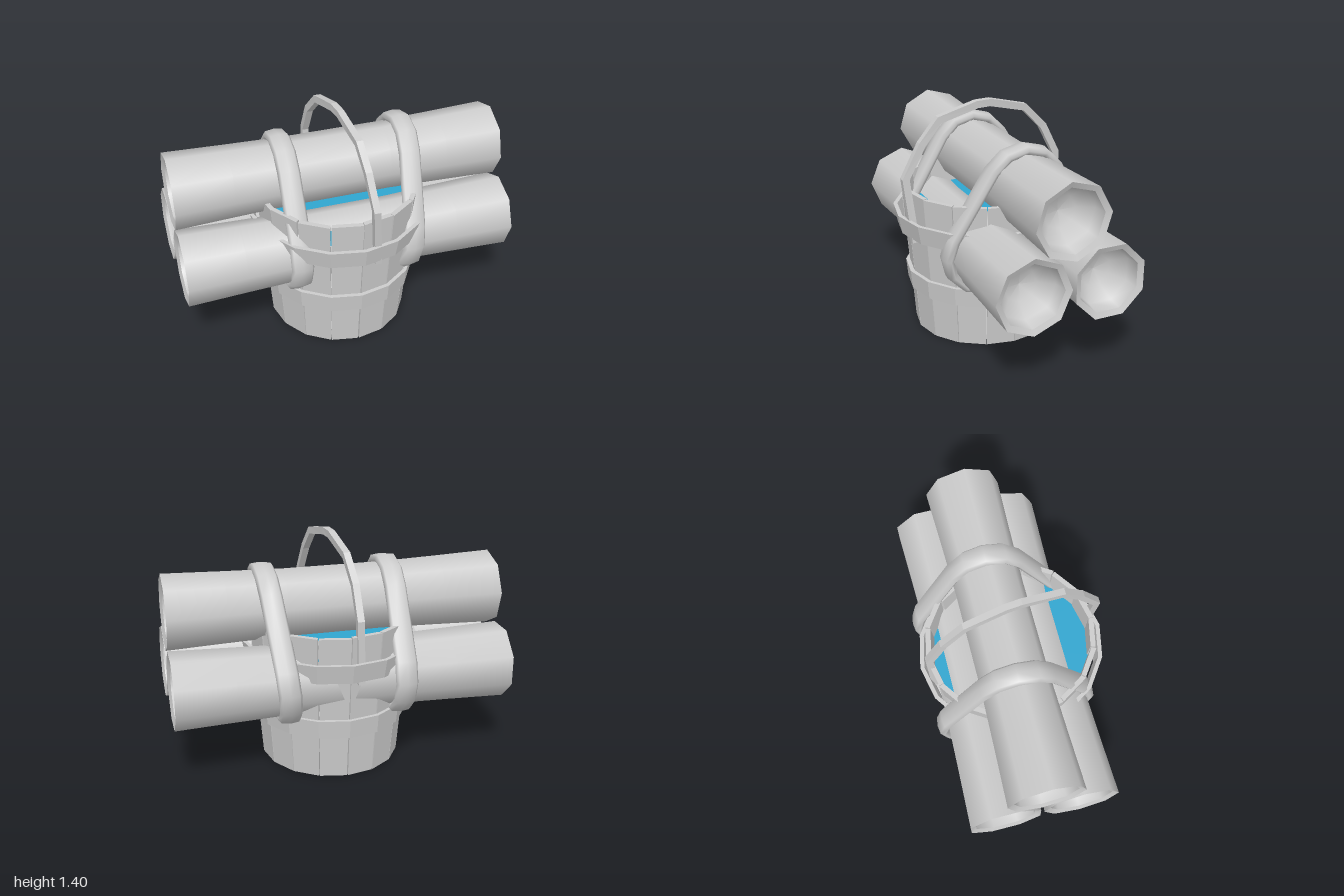
import * as THREE from 'three';

const smooth = () => new THREE.MeshStandardMaterial({ color: 0xcccccc });
const faceted = () => new THREE.MeshStandardMaterial({ color: 0xcccccc, flatShading: true });
const RAD = Math.PI / 180;

function mesh(parent, name, geometry, material) {
  const m = new THREE.Mesh(geometry, material);
  m.name = name;
  parent.add(m);
  return m;
}

// Sweeps a flat bar, wide along x, along a path; sides = 4 gives a square bar
function sweep(path, halfWidth, halfThick, sides, closed) {
  const pos = [], idx = [], n = path.length, X = new THREE.Vector3(1, 0, 0);
  const soft = (v) => Math.sign(v) * Math.pow(Math.abs(v), 0.75);
  path.forEach((p, i) => {
    const prev = closed ? path[(i + n - 1) % n] : path[Math.max(i - 1, 0)];
    const next = closed ? path[(i + 1) % n] : path[Math.min(i + 1, n - 1)];
    const out = X.clone().cross(next.clone().sub(prev)).normalize();
    for (let j = 0; j < sides; j++) {
      const a = ((j + (sides === 4 ? 0.5 : 0)) / sides) * Math.PI * 2;
      const k = sides === 4 ? 1.3 : 1;
      const v = p.clone()
        .addScaledVector(X, soft(Math.cos(a)) * halfWidth * k)
        .addScaledVector(out, soft(Math.sin(a)) * halfThick * k);
      pos.push(v.x, v.y, v.z);
    }
  });
  for (let i = 0; i < (closed ? n : n - 1); i++) {
    for (let j = 0; j < sides; j++) {
      const i2 = (i + 1) % n, j2 = (j + 1) % sides;
      const a = i * sides + j, b = i * sides + j2, c = i2 * sides + j2, d = i2 * sides + j;
      idx.push(a, d, b, b, d, c);
    }
  }
  if (!closed) {
    const e = (n - 1) * sides;
    for (let j = 1; j < sides - 1; j++) idx.push(0, j, j + 1, e, e + j + 1, e + j);
  }
  const g = new THREE.BufferGeometry();
  g.setAttribute('position', new THREE.Float32BufferAttribute(pos, 3));
  g.setIndex(idx);
  g.computeVertexNormals();
  return g;
}

const lathe = (pts, sides) => new THREE.LatheGeometry(pts.map(([r, y]) => new THREE.Vector2(r, y)), sides);

// Tapered wall board: bottom and top radius, slightly narrower than its share of the ring
function staveGeometry(height, lean, skew) {
  const g = new THREE.BoxGeometry(1, 1, 1), p = g.attributes.position;
  for (let i = 0; i < p.count; i++) {
    const t = p.getY(i) + 0.5;
    const r = 0.433 + 0.072 * t + lean * t - (p.getZ(i) < 0 ? 0.03 : 0);
    const w = 2 * r * Math.tan(Math.PI / 16) * 0.97;
    p.setXYZ(i, p.getX(i) * w + skew * (t - 0.5), t * height, r);
  }
  g.computeVertexNormals();
  return g;
}

export function createModel() {
  const model = new THREE.Group();

  // Bucket, slightly narrower across x
  const bucket = new THREE.Group();
  bucket.name = 'bucket';
  bucket.scale.x = 0.96;
  model.add(bucket);

  let seed = 7;
  const rand = () => ((seed = (seed * 16807) % 2147483647) / 2147483647) - 0.5;
  rand();
  for (let i = 0; i < 16; i++) {
    const stave = mesh(bucket, 'stave', staveGeometry(0.902 + rand() * 0.012, rand() * 0.012, rand() * 0.012), faceted());
    stave.rotation.y = ((i + 0.5) / 16) * Math.PI * 2;
  }

  const floor = mesh(bucket, 'bucketFloor', new THREE.CylinderGeometry(0.42, 0.42, 0.03, 16), faceted());
  floor.position.y = 0.04;

  // Hoops: closed thin profile turned around the bucket
  const hoop = (name, y0, y1, r0, r1) => mesh(bucket, name, lathe([
    [r0 - 0.025, y0], [r0, y0], [r1, y1], [r1 - 0.025, y1], [r0 - 0.025, y0],
  ], 16), faceted());
  hoop('lowerHoop', 0.27, 0.383, 0.485, 0.496);
  hoop('upperHoop', 0.64, 0.755, 0.54, 0.563);

  // Water
  const water = mesh(bucket, 'water', new THREE.CircleGeometry(0.475, 16),
    new THREE.MeshStandardMaterial({ color: 0x2fa5cf, side: THREE.DoubleSide }));
  water.rotation.x = -Math.PI / 2;
  water.position.y = 0.75;

  // Handle: faceted bail from the front of the bucket over to the back
  const bail = [
    [0.09, 0.615, 0.495], [0.06, 1.0, 0.535], [0.045, 1.19, 0.425], [0.03, 1.32, 0.31],
    [0.005, 1.378, 0.06], [-0.005, 1.378, -0.03], [-0.03, 1.315, -0.27],
    [-0.045, 1.18, -0.405], [-0.05, 0.995, -0.5], [-0.06, 0.615, -0.495],
  ].map((p) => new THREE.Vector3(...p));
  mesh(model, 'handle', sweep(bail, 0.02, 0.022, 4, false), faceted());

  // Three flared eight-sided logs with hollowed ends: z, y, roll
  const logs = [[-0.05, 0.986, 6], [-0.287, 0.595, 22.5], [0.175, 0.596, 0]];
  const body = [[0.228, -1], [0.216, -0.65], [0.206, -0.3], [0.206, 0.3], [0.216, 0.65], [0.228, 1]];
  const bowl = [[0.192, 0.985], [0.178, 0.9], [0.1, 0.83], [0, 0.81]];
  const rim = [[0.228, 1], [0.192, 0.985]];
  const flip = (pts) => pts.map(([r, y]) => [r, -y]).reverse();
  logs.forEach(([z, y, roll]) => {
    const log = new THREE.Group();
    log.name = 'log';
    log.position.set(0, y, z);
    log.rotation.x = roll * RAD;
    model.add(log);
    const add = (name, pts) => mesh(log, name, lathe(pts, 8).rotateZ(-Math.PI / 2), smooth());
    add('logBody', body);
    add('logRim', rim);
    add('logRim', flip(rim));
    add('logHollow', bowl);
    add('logHollow', flip(bowl));
  });

  // Straps wrapped around the bundle of logs; the left one leans outward with height
  const wrap = (xAt) => {
    const path = [];
    logs.forEach(([z, y], k) => {
      for (let s = 0; s <= 4; s++) {
        const a = (30 + 120 * k + 30 * s) * RAD;
        const py = y + Math.sin(a) * 0.228;
        path.push(new THREE.Vector3(xAt(py), py, z + Math.cos(a) * 0.228));
      }
    });
    return sweep(path, 0.067, 0.03, 8, true);
  };
  mesh(model, 'rightStrap', wrap(() => -0.333), smooth());
  mesh(model, 'leftStrap', wrap((y) => 0.3 + 0.095 * y), smooth());

  return model;
}
